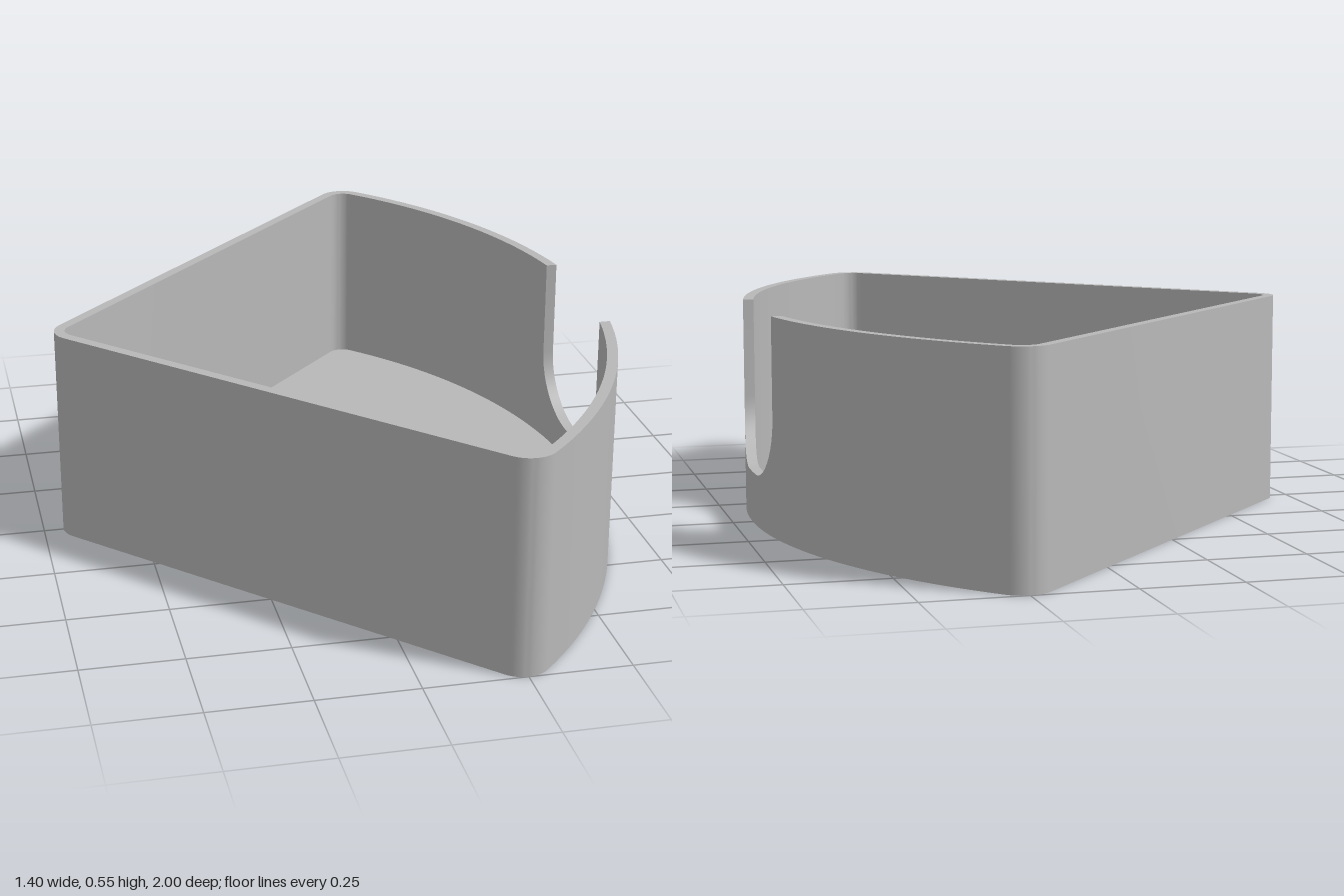
import * as THREE from 'three';
import { toCreasedNormals } from 'three/addons/utils/BufferGeometryUtils.js';

const HEIGHT = 0.545, FLOOR = 0.05, WALL = 0.027;
const ROUND = 0.07;                                   // outer corner radius
const TIP = [-0.63, 0], CORNER = [0.25, 0.93];        // centres of the rounded corners
const ARC_X = -0.698, ARC_R = 1.398;                  // curved front wall
const NOTCH = { half: 0.222, bottom: 0.13, round: 0.165 };

// Stations around the tray: outer point, inner point and rim height
function makeStations() {
  const list = [];
  const add = (cx, cz, r, ao, ai = ao, top = HEIGHT) => list.push({
    o: [cx + r * Math.cos(ao), cz + r * Math.sin(ao)],
    i: [cx + (r - WALL) * Math.cos(ai), cz + (r - WALL) * Math.sin(ai)],
    top,
  });
  const sweep = (cx, cz, r, a, b, n) => {
    for (let k = 0; k <= n; k++) add(cx, cz, r, a + (b - a) * k / n);
  };
  const side = Math.atan2(CORNER[0] - TIP[0], -CORNER[1]);   // normal of the straight side
  const end = Math.atan2(CORNER[1], CORNER[0] - ARC_X);      // where the arc meets the corner
  const edgeO = Math.asin(NOTCH.half / ARC_R), edgeI = Math.asin(NOTCH.half / (ARC_R - WALL));
  const arc = (ao, ai, top) => add(ARC_X, 0, ARC_R, ao, ai, top);
  const mix = THREE.MathUtils.lerp;

  sweep(CORNER[0], -CORNER[1], ROUND, -side, -end, 12);
  for (let k = 1; k <= 20; k++) arc(mix(-end, -edgeO, k / 20), mix(-end, -edgeI, k / 20));

  // U-shaped notch, cut straight through the wall
  const cut = [];
  for (let k = 0; k <= 12; k++) {
    const a = k / 12 * Math.PI / 2;
    cut.push([-NOTCH.half + NOTCH.round * (1 - Math.cos(a)),
      NOTCH.bottom + NOTCH.round * (1 - Math.sin(a))]);
  }
  const mirrored = cut.map(([z, y]) => [-z, y]).reverse();
  for (const [z, y] of [...cut, [0, NOTCH.bottom], ...mirrored]) {
    arc(Math.asin(z / ARC_R), Math.asin(z / (ARC_R - WALL)), y);
  }

  for (let k = 0; k < 20; k++) arc(mix(edgeO, end, k / 20), mix(edgeI, end, k / 20));
  sweep(CORNER[0], CORNER[1], ROUND, end, side, 12);
  sweep(TIP[0], TIP[1], ROUND, side, 2 * Math.PI - side, 12);
  return list;
}

function toGeometry(triangles) {
  const g = new THREE.BufferGeometry();
  g.setAttribute('position', new THREE.Float32BufferAttribute(triangles.flat(2), 3));
  return toCreasedNormals(g, Math.PI / 6);
}

export function createModel() {
  const group = new THREE.Group();
  const grey = new THREE.MeshStandardMaterial({ color: 0xb8b8b8 });
  grey.name = 'grey';
  const stations = makeStations();
  const wall = [], floor = [], base = [];
  const at = ([x, z], y) => [x, y, z];
  const quad = (a, b, c, d) => wall.push([a, b, c], [a, c, d]);

  stations.forEach((s, n) => {
    const t = stations[(n + 1) % stations.length];
    // Rim, including the notch edge
    quad(at(s.o, s.top), at(s.i, s.top), at(t.i, t.top), at(t.o, t.top));
    if (Math.hypot(s.o[0] - t.o[0], s.o[1] - t.o[1]) < 1e-6) return;
    // Outer and inner faces
    quad(at(s.o, 0), at(s.o, s.top), at(t.o, t.top), at(t.o, 0));
    quad(at(s.i, FLOOR), at(t.i, FLOOR), at(t.i, t.top), at(s.i, s.top));
    // Floor inside and underside
    floor.push([[0.1, FLOOR, 0], at(t.i, FLOOR), at(s.i, FLOOR)]);
    base.push([[0.1, 0, 0], at(s.o, 0), at(t.o, 0)]);
  });

  for (const [name, triangles] of Object.entries({ wall, floor, base })) {
    const mesh = new THREE.Mesh(toGeometry(triangles), grey);
    mesh.name = name;
    group.add(mesh);
  }
  return group;
}
